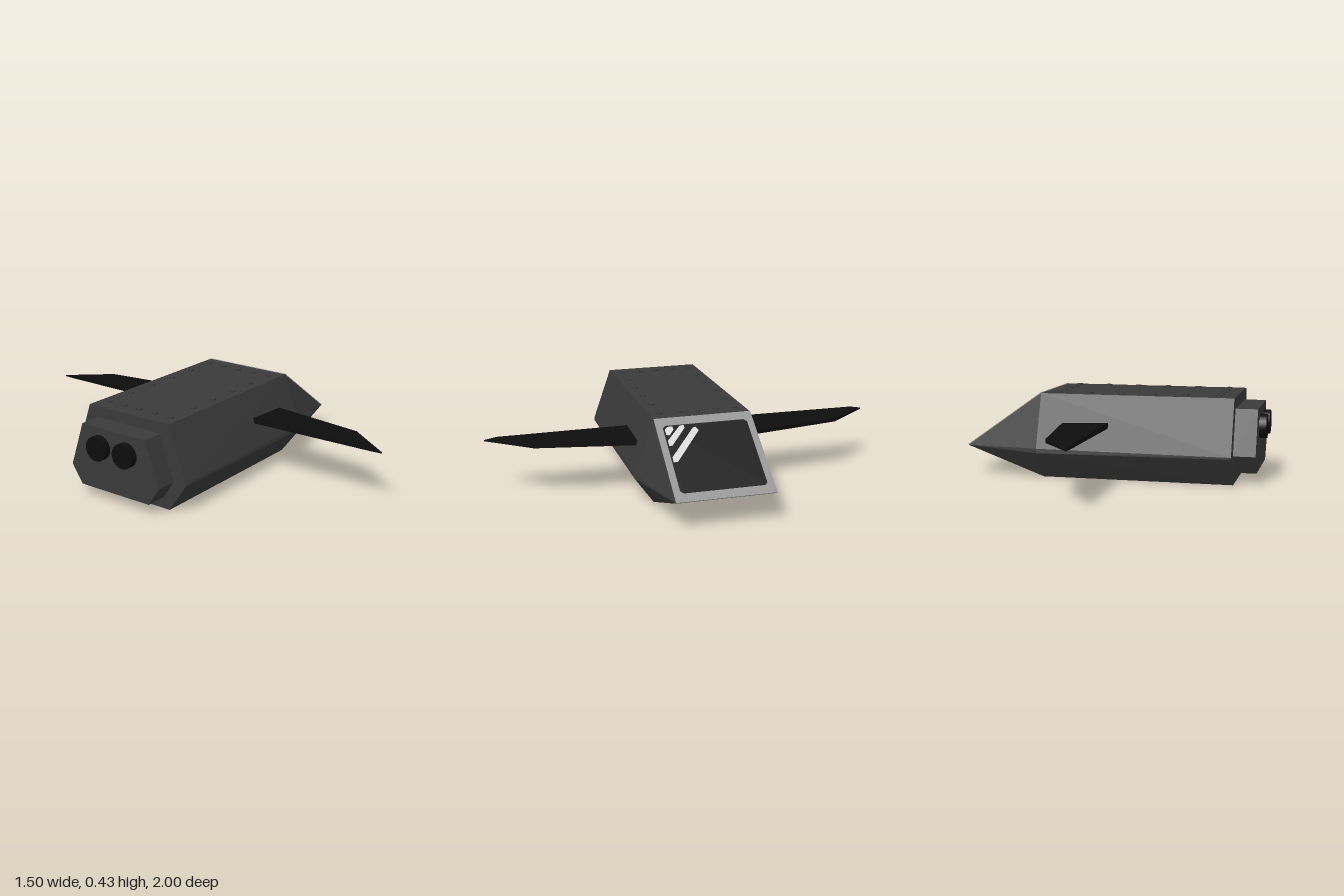
import * as THREE from 'three';
import { ConvexGeometry } from 'three/addons/geometries/ConvexGeometry.js';

const mat = (name, color) => new THREE.MeshStandardMaterial({ name, color });

export function createModel() {
  const ship = new THREE.Group();
  ship.name = 'shuttle';
  const hullGrey = mat('hullGrey', 0x3a3a3a);
  const black = mat('black', 0x0d0d0d);
  const frameGrey = mat('frameGrey', 0x949494);
  const glintGrey = mat('glintGrey', 0xd8d8d8);

  const add = (parent, name, geometry, material) => {
    const mesh = new THREE.Mesh(geometry, material);
    mesh.name = name;
    parent.add(mesh);
    return mesh;
  };
  // Mirrored cross-section at x from [y, half width] pairs
  const section = (x, pairs) => pairs.flatMap(([y, z]) =>
    [new THREE.Vector3(x, y, z), new THREE.Vector3(x, y, -z)]);

  // Hull: faceted body tapering to a wide wedge nose
  add(ship, 'hull', new ConvexGeometry([
    ...section(-0.607, [[0.42, 0.24], [0.15, 0.335], [0.14, 0.335], [0, 0.24]]),
    ...section(0.355, [[0.42, 0.24], [0.155, 0.333], [0.133, 0.335]]),
    ...section(0.345, [[0, 0.24]]),
    ...section(0.745, [[0.145, 0.24]]),
  ]), hullGrey);

  // Engine block and its two nozzles
  const engine = [[0.365, 0.19], [0.145, 0.265], [0.055, 0.205]];
  add(ship, 'engineBlock', new ConvexGeometry([
    ...section(-0.715, engine), ...section(-0.6, engine),
  ]), hullGrey);
  for (const z of [-0.08, 0.08]) {
    const nozzle = add(ship, 'nozzle', new THREE.CylinderGeometry(0.06, 0.06, 0.05, 24), black);
    nozzle.rotation.z = Math.PI / 2;
    nozzle.position.set(-0.725, 0.27, z);
  }

  // Wings: swept, thin plates that narrow at the tip; [x, z, bottom, top]
  const wing = [
    [0, 0.28, 0.262, 0.288], [0.235, 0.28, 0.257, 0.28],
    [0.16, 0.78, 0.263, 0.281], [0, 0.94, 0.266, 0.285], [0, 1, 0.268, 0.274],
  ];
  for (const side of [1, -1]) {
    const points = wing.flatMap(([x, z, low, high]) =>
      [new THREE.Vector3(x, low, z * side), new THREE.Vector3(x, high, z * side)]);
    add(ship, side > 0 ? 'rightWing' : 'leftWing', new ConvexGeometry(points), black);
  }

  // Rivets around the border of the roof
  const rivetGeometry = new THREE.CylinderGeometry(0.016, 0.016, 0.012, 8);
  for (let i = 0; i < 6; i++) {
    for (let j = -2; j <= 2; j++) {
      if (i > 0 && i < 5 && Math.abs(j) < 2) continue;
      add(ship, 'rivet', rivetGeometry, hullGrey)
        .position.set(-0.525 + i * 0.16, 0.421, j * 0.095);
    }
  }

  // Windshield, laid on the nose slope: local x across, local y up the slope
  const windshield = new THREE.Group();
  windshield.name = 'windshield';
  const up = new THREE.Vector3(-0.39, 0.275, 0).normalize();
  const out = new THREE.Vector3(0.275, 0.39, 0).normalize();
  windshield.quaternion.setFromRotationMatrix(
    new THREE.Matrix4().makeBasis(new THREE.Vector3(0, 0, -1), up, out));
  windshield.position.set(0.55, 0.2825, 0);
  ship.add(windshield);

  const polygon = (points) => new THREE.Shape(points.map(([x, y]) => new THREE.Vector2(x, y)));
  const plate = (shape, depth) => new THREE.ExtrudeGeometry(shape, { depth, bevelEnabled: false });
  const w = 0.208, h = 0.192, c = 0.014;
  const pane = [
    [-w + c, -h], [w - c, -h], [w, -h + c], [w, h - c],
    [w - c, h], [-w + c, h], [-w, h - c], [-w, -h + c],
  ];
  const frame = polygon([[-0.24, -0.238], [0.24, -0.238], [0.24, 0.238], [-0.24, 0.238]]);
  frame.holes.push(polygon(pane));
  add(windshield, 'windowFrame', plate(frame, 0.004), frameGrey);
  add(windshield, 'windowGlass', plate(polygon(pane), 0.002), black);

  // Glints in the upper corner of the glass
  const glints = [
    [[-0.2, -0.018], [-0.18, -0.018], [-0.04, 0.15], [-0.05, 0.172], [-0.065, 0.168], [-0.2, 0.01]],
    [[-0.2, 0.075], [-0.185, 0.075], [-0.105, 0.17], [-0.105, 0.187], [-0.125, 0.187], [-0.2, 0.105]],
    [[-0.2, 0.14], [-0.185, 0.135], [-0.16, 0.165], [-0.16, 0.185], [-0.185, 0.185], [-0.2, 0.17]],
  ];
  for (const points of glints) add(windshield, 'glint', plate(polygon(points), 0.004), glintGrey);

  return ship;
}
